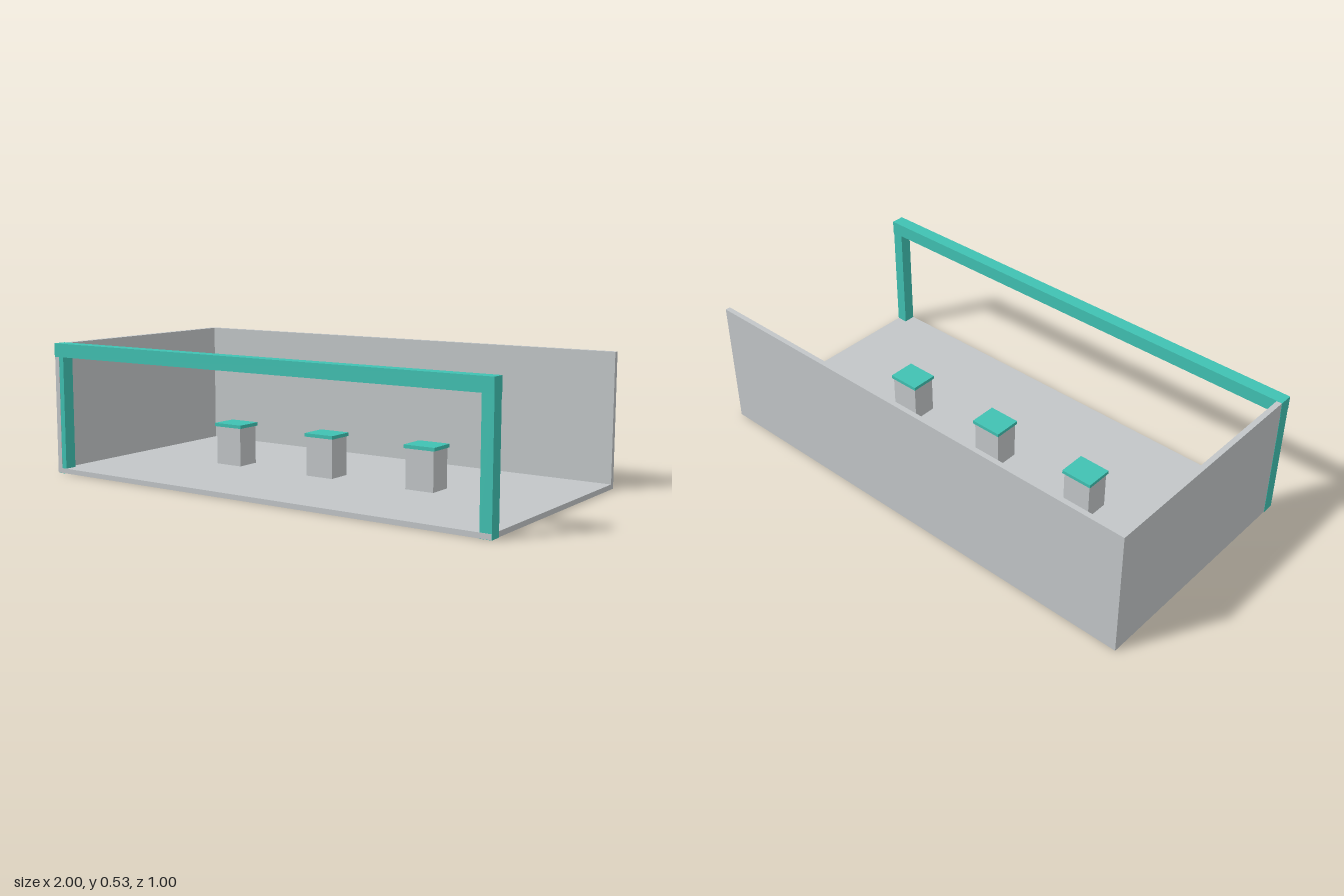
import * as THREE from 'three';

export function createModel() {
  const grey = new THREE.MeshStandardMaterial({ color: 0xc2c6c8 });
  grey.name = 'light grey';
  const teal = new THREE.MeshStandardMaterial({ color: 0x40c1b2 });
  teal.name = 'teal';

  const model = new THREE.Group();
  model.name = 'exhibitionBooth';

  // Box given by its min and max along each axis
  function box(name, material, [x0, x1], [y0, y1], [z0, z1], parent = model) {
    const mesh = new THREE.Mesh(new THREE.BoxGeometry(x1 - x0, y1 - y0, z1 - z0), material);
    mesh.position.set((x0 + x1) / 2, (y0 + y1) / 2, (z0 + z1) / 2);
    mesh.name = name;
    parent.add(mesh);
  }

  // Floor and the two walls, at the back and on one side
  box('floor', grey, [-0.999, 0.999], [0.001, 0.021], [-0.5, 0.499]);
  box('backWall', grey, [-0.999, 0.999], [0.001, 0.533], [-0.5, -0.479]);
  box('sideWall', grey, [-0.999, -0.977], [0.001, 0.533], [-0.5, 0.499]);

  // Front frame: posts set into the floor corners, beam across the top
  for (const side of [-1, 1]) {
    const xs = [side * 0.954, side].sort((a, b) => a - b);
    box(side < 0 ? 'rightPost' : 'leftPost', teal, xs, [0, 0.5], [0.448, 0.498]);
  }
  box('topBeam', teal, [-1, 1], [0.479, 0.534], [0.445, 0.5]);

  // Three display plinths with overhanging caps
  for (const x of [-0.462, -0.002, 0.458]) {
    const plinth = new THREE.Group();
    plinth.name = 'plinth';
    plinth.position.x = x;
    box('plinthBody', grey, [-0.061, 0.061], [0.021, 0.179], [-0.051, 0.051], plinth);
    box('plinthCap', teal, [-0.067, 0.067], [0.179, 0.193], [-0.057, 0.057], plinth);
    model.add(plinth);
  }

  return model;
}
